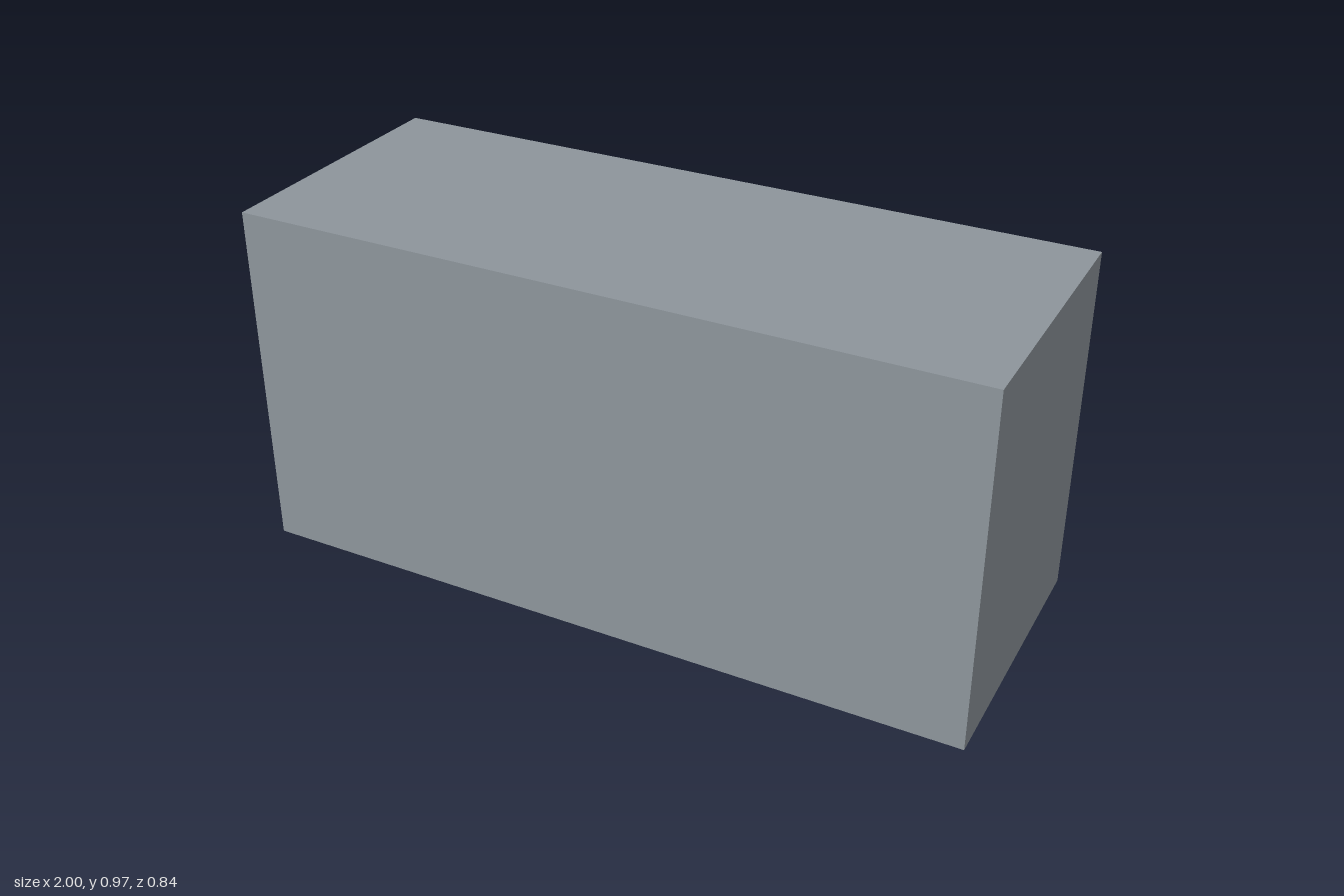
import * as THREE from 'three';
import { toCreasedNormals } from 'three/addons/utils/BufferGeometryUtils.js';

const H = 0.97, BACK = -0.35, FRONT = 0.417, PANEL = 0.027;

export function createModel() {
  const desk = new THREE.Group();
  desk.name = 'desk';
  const grey = new THREE.MeshStandardMaterial({ color: 0x8d959b });
  grey.name = 'slate grey';

  const add = (name, geometry, x = 0, y = 0, z = 0) => {
    const mesh = new THREE.Mesh(geometry, grey);
    mesh.name = name;
    mesh.position.set(x, y, z);
    desk.add(mesh);
    return mesh;
  };

  // Top, end panel and pedestal in one outline around the rounded knee hole
  const left = 0.945, right = -0.384, roof = 0.81, r = 0.022;
  const outline = new THREE.Shape();
  outline.moveTo(-1, 0);
  outline.lineTo(right, 0);
  outline.lineTo(right, roof - r);
  outline.absarc(right + r, roof - r, r, Math.PI, Math.PI / 2, true);
  outline.lineTo(left - r, roof);
  outline.absarc(left - r, roof - r, r, Math.PI / 2, 0, true);
  outline.lineTo(left, 0);
  outline.lineTo(1, 0);
  outline.lineTo(1, H);
  outline.lineTo(-1, H);
  const carcass = new THREE.ExtrudeGeometry(outline, {
    depth: FRONT - PANEL - BACK, bevelEnabled: false, curveSegments: 8,
  });
  add('carcass', toCreasedNormals(carcass, 0.6), 0, 0, BACK);

  // Full-width modesty panel
  add('modestyPanel', new THREE.BoxGeometry(2, H, PANEL), 0, H / 2, FRONT - PANEL / 2);

  // Drawer and cupboard fronts
  const plate = (name, y0, y1) =>
    add(name, new THREE.BoxGeometry(0.462, y1 - y0, 0.022), -0.698, (y0 + y1) / 2, BACK - 0.01);
  plate('drawerFront', 0.6, 0.81);
  plate('cupboardDoor', 0.08, 0.55);

  // Bow handle: a tube out from the plate, along, and back in
  const handle = (name, length, radius, width) => {
    const a = length / 2 - radius, out = 0.049 - radius, c = 0.012;
    const v = (x, z) => new THREE.Vector3(x, 0, z);
    const path = new THREE.CurvePath();
    path.add(new THREE.LineCurve3(v(-a, 0.006), v(-a, -out + c)));
    path.add(new THREE.QuadraticBezierCurve3(v(-a, -out + c), v(-a, -out), v(-a + c, -out)));
    path.add(new THREE.LineCurve3(v(-a + c, -out), v(a - c, -out)));
    path.add(new THREE.QuadraticBezierCurve3(v(a - c, -out), v(a, -out), v(a, -out + c)));
    path.add(new THREE.LineCurve3(v(a, -out + c), v(a, 0.006)));
    const geometry = new THREE.TubeGeometry(path, 64, radius, 12);
    geometry.scale(1, width / (2 * radius), 1);
    return add(name, geometry);
  };
  handle('drawerHandle', 0.17, 0.01, 0.03).position.set(-0.69, 0.7, -0.37);
  const doorHandle = handle('doorHandle', 0.168, 0.016, 0.034);
  doorHandle.position.set(-0.522, 0.322, -0.37);
  doorHandle.rotation.z = Math.PI / 2;

  return desk;
}
